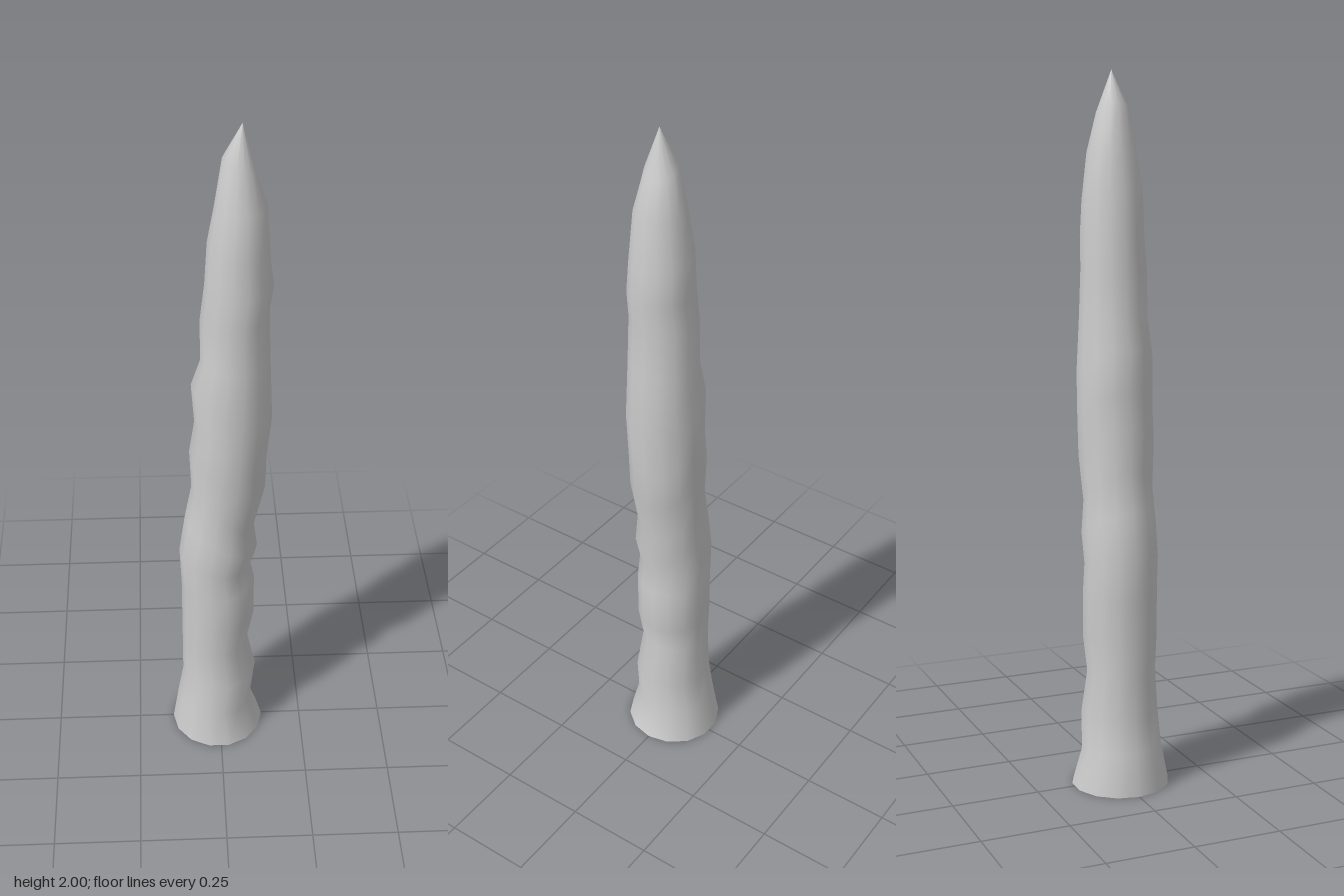
import * as THREE from 'three';

const SIDES = 14;

// Rings from base to tip: left x, left y, right x, right y, half depth in z
const RINGS = [
  [-0.145, 0.00, 0.130, 0.00, 0.140],
  [-0.127, 0.12, 0.095, 0.10, 0.115],
  [-0.112, 0.21, 0.108, 0.22, 0.110],
  [-0.112, 0.33, 0.083, 0.34, 0.098],
  [-0.112, 0.44, 0.101, 0.43, 0.106],
  [-0.112, 0.55, 0.101, 0.57, 0.106],
  [-0.117, 0.68, 0.088, 0.63, 0.105],
  [-0.100, 0.80, 0.108, 0.69, 0.106],
  [-0.080, 0.91, 0.098, 0.77, 0.099],
  [-0.085, 1.03, 0.128, 0.90, 0.107],
  [-0.070, 1.13, 0.130, 1.00, 0.107],
  [-0.078, 1.25, 0.143, 1.14, 0.107],
  [-0.052, 1.33, 0.135, 1.33, 0.097],
  [-0.053, 1.45, 0.130, 1.48, 0.093],
  [-0.040, 1.56, 0.140, 1.55, 0.090],
  [-0.033, 1.68, 0.130, 1.63, 0.086],
  [-0.015, 1.78, 0.120, 1.78, 0.070],
  [0.005, 1.91, 0.093, 1.87, 0.045],
  [0.055, 2.00, 0.055, 2.00, 0.000],
];

// Skin the tilted rings into one smooth tapering tube
function skinRings(rings) {
  const positions = [];
  const indices = [];
  rings.forEach(([lx, ly, rx, ry, depth], i) => {
    for (let j = 0; j < SIDES; j++) {
      const a = (j / SIDES) * Math.PI * 2;
      const t = (1 + Math.cos(a)) / 2;
      positions.push(lx + (rx - lx) * t, ly + (ry - ly) * t, Math.sin(a) * depth);
      if (i === rings.length - 1) continue;
      const p = i * SIDES + j;
      const q = i * SIDES + ((j + 1) % SIDES);
      indices.push(p, p + SIDES, q);
      // The last band closes to a point, so it needs one triangle per side
      if (i < rings.length - 2) indices.push(q, p + SIDES, q + SIDES);
    }
  });
  const geometry = new THREE.BufferGeometry();
  geometry.setAttribute('position', new THREE.Float32BufferAttribute(positions, 3));
  geometry.setIndex(indices);
  geometry.computeVertexNormals();
  return geometry;
}

export function createModel() {
  const group = new THREE.Group();
  group.name = 'spike';
  // Open at the base, so both faces show
  const material = new THREE.MeshStandardMaterial({ color: 0xcccccc, side: THREE.DoubleSide });
  const shaft = new THREE.Mesh(skinRings(RINGS), material);
  shaft.name = 'shaft';
  group.add(shaft);
  return group;
}
